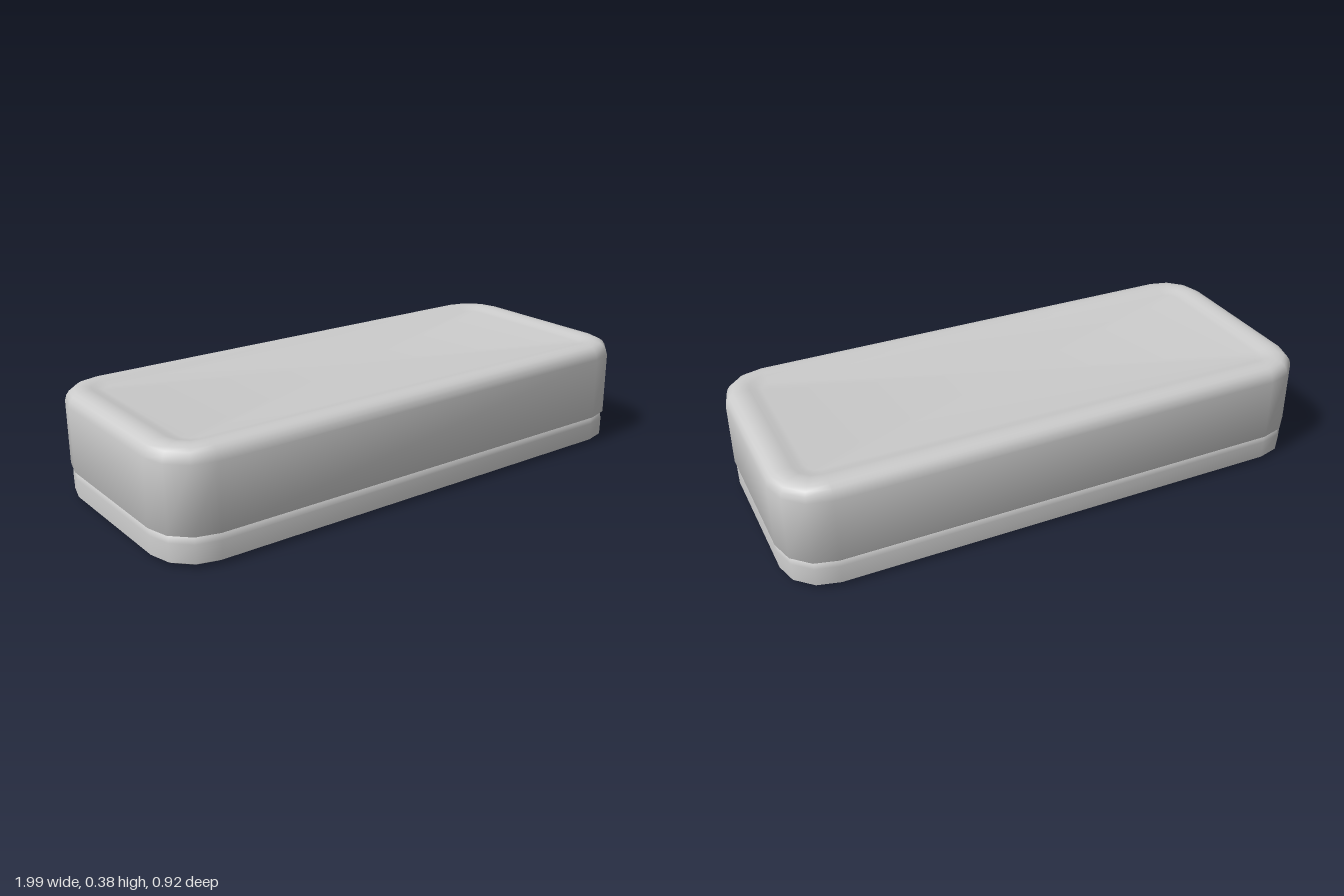
import * as THREE from 'three';
import { toCreasedNormals } from 'three/addons/utils/BufferGeometryUtils.js';

const HALF_X = 0.985, HALF_Z = 0.43, CORNER = 0.165, SEGMENTS = 3;

// Rounded-rectangle outline, pulled in by the given inset
function outline(inset) {
  const r = Math.max(CORNER - inset, 0.04);
  const cx = HALF_X - inset - r, cz = HALF_Z - inset - r;
  const points = [];
  [[1, 1], [-1, 1], [-1, -1], [1, -1]].forEach(([sx, sz], corner) => {
    for (let i = 0; i <= SEGMENTS; i++) {
      const a = (corner + i / SEGMENTS) * Math.PI / 2;
      points.push([sx * cx + r * Math.cos(a), sz * cz + r * Math.sin(a)]);
    }
  });
  return points;
}

// Closed solid skinned over [height, inset] rows, from bottom to top
function shell(name, rows, material) {
  const n = 4 * (SEGMENTS + 1), position = [], index = [];
  rows.forEach(([y, inset]) => outline(inset).forEach(([x, z]) => position.push(x, y, z)));
  const bottom = rows.length * n, top = bottom + 1, lastRing = bottom - n;
  position.push(0, rows[0][0], 0, 0, rows[rows.length - 1][0], 0);
  for (let j = 0; j < n; j++) {
    const k = (j + 1) % n;
    for (let i = 0; i < rows.length - 1; i++) {
      const a = i * n + j, b = i * n + k;
      index.push(a, a + n, b, b, a + n, b + n);
    }
    index.push(bottom, j, k, top, lastRing + k, lastRing + j);
  }
  const geometry = new THREE.BufferGeometry();
  geometry.setAttribute('position', new THREE.Float32BufferAttribute(position, 3));
  geometry.setIndex(index);
  const mesh = new THREE.Mesh(toCreasedNormals(geometry, 0.7), material);
  mesh.name = name;
  return mesh;
}

export function createModel() {
  const material = new THREE.MeshStandardMaterial({ color: 0xcccccc });
  const group = new THREE.Group();
  group.name = 'box';

  // Shallow base with a chamfered foot and a softened upper edge
  const base = shell('base', [
    [0, 0.04], [0.004, 0.025], [0.015, 0.006], [0.08, 0.005], [0.095, 0.008], [0.106, 0.016],
  ], material);

  // Deep lid with a rolled rim around a slightly sunken top panel
  const lid = shell('lid', [
    [0.104, 0.012], [0.106, 0.002], [0.11, 0], [0.338, 0], [0.358, 0.006], [0.372, 0.016],
    [0.381, 0.03], [0.385, 0.05], [0.385, 0.07], [0.381, 0.09], [0.375, 0.11], [0.372, 0.13],
  ], material);

  // The whole box sits slightly turned on the ground
  const body = new THREE.Group();
  body.name = 'body';
  body.rotation.y = 0.036;
  body.add(base, lid);
  group.add(body);
  return group;
}
